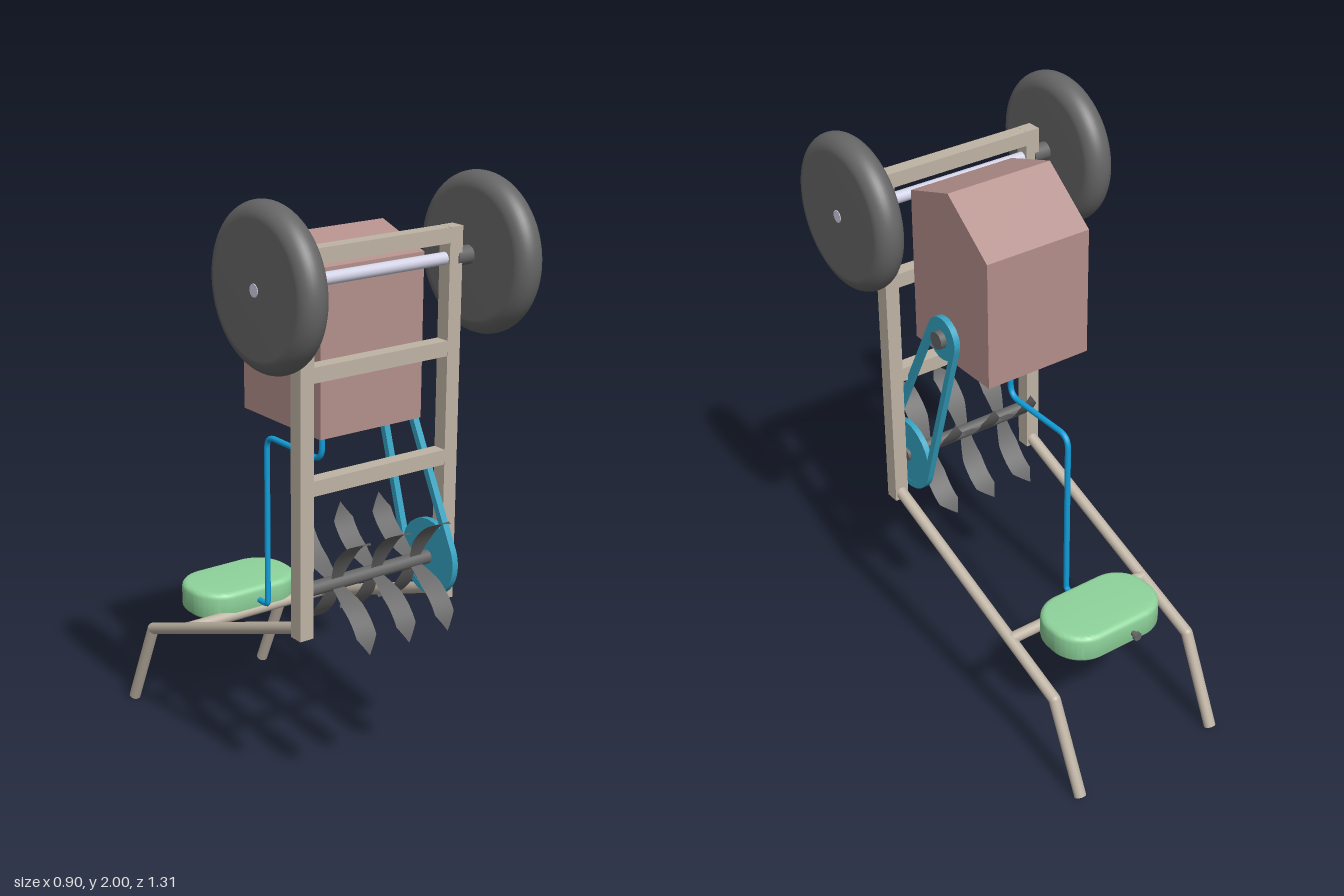
import * as THREE from 'three';
import { mergeVertices, toCreasedNormals } from 'three/addons/utils/BufferGeometryUtils.js';

const mat = (color, side = THREE.FrontSide) => new THREE.MeshStandardMaterial({ color, side });
const V = (x, y, z) => new THREE.Vector3(x, y, z);

export function createModel() {
  const model = new THREE.Group();
  const steel = mat(0xbfb4a5), dark = mat(0x666666), blue = mat(0x35a3c2);
  const pipeBlue = mat(0x109fdc), engineRed = mat(0xb38f8b), green = mat(0x8fd49c);
  const axleGrey = mat(0xd2d2e6), bladeGrey = mat(0x666666, THREE.DoubleSide);

  const add = (name, geometry, material, parent = model) => {
    const mesh = new THREE.Mesh(geometry, material);
    mesh.name = name;
    parent.add(mesh);
    return mesh;
  };
  const box = (name, w, h, d, x, y, z, m) => add(name, new THREE.BoxGeometry(w, h, d), m).position.set(x, y, z);
  // round bar between two points
  const rod = (name, a, b, r, m) => {
    const mesh = add(name, new THREE.CylinderGeometry(r, r, a.distanceTo(b), 24), m);
    mesh.position.copy(a).add(b).multiplyScalar(0.5);
    mesh.quaternion.setFromUnitVectors(V(0, 1, 0), b.clone().sub(a).normalize());
    return mesh;
  };
  // extrude a side profile (drawn in -z, y) along x, centred on x
  const extrudeX = (shape, width, x) => new THREE.ExtrudeGeometry(shape, { depth: width, bevelEnabled: false, curveSegments: 24 })
    .rotateY(Math.PI / 2).translate(x - width / 2, 0, 0);

  // upright ladder frame
  const fz = 0.4;
  for (const s of [-1, 1]) box('framePost', 0.05, 1.225, 0.05, s * 0.28, 1.2325, fz, steel);
  for (const y of [1.82, 1.465, 1.11]) box('frameCrossbar', 0.51, 0.049, 0.049, 0, y, fz, steel);

  // handles: sloping rail with a bent grip
  for (const s of [-1, 1]) {
    const x = s * 0.28, bend = V(x, 0.325, -0.495);
    rod('handleRail', V(x, 0.65, 0.39), bend, 0.02, steel);
    rod('handleGrip', bend, V(x, 0.009, -0.637), 0.02, steel);
    add('handleElbow', new THREE.SphereGeometry(0.02, 24, 12), steel).position.copy(bend);
  }
  rod('handleCrossbar', V(-0.28, 0.415, -0.255), V(0.28, 0.415, -0.255), 0.02, steel);

  // wheels with rounded rims, hubs and axle
  const wheelY = 1.745, rim = [new THREE.Vector2(0, -0.05)];
  for (let i = 0; i <= 16; i++) {
    const a = -Math.PI / 2 + (i / 16) * Math.PI;
    rim.push(new THREE.Vector2(0.205 + 0.05 * Math.cos(a), 0.05 * Math.sin(a)));
  }
  rim.push(new THREE.Vector2(0, 0.05));
  for (const s of [-1, 1]) {
    const wheel = add('wheel', new THREE.LatheGeometry(rim, 64).rotateZ(Math.PI / 2), dark);
    wheel.position.set(s * 0.4, wheelY, fz);
    rod('wheelHub', V(s * 0.29, wheelY, fz), V(s * 0.37, wheelY, fz), 0.03, dark);
  }
  rod('axle', V(-0.452, wheelY, fz), V(0.452, wheelY, fz), 0.02, axleGrey);

  // engine housing with a ridged top
  const housing = new THREE.Shape([[-0.375, 1.24], [0.033, 1.24], [0.033, 1.68], [-0.17, 1.838], [-0.375, 1.77]]
    .map(([x, y]) => new THREE.Vector2(x, y)));
  add('engineHousing', extrudeX(housing, 0.39, 0), engineRed);
  rod('engineShaft', V(0.18, 1.34, 0.17), V(0.255, 1.34, 0.17), 0.03, dark);

  // belt drive: two pulleys inside a belt loop
  const top = { x: -0.17, y: 1.34, r: 0.075 }, low = { x: -fz, y: 0.775, r: 0.128 };
  const loop = (path, inset) => {
    const dx = low.x - top.x, dy = low.y - top.y;
    const phi = Math.atan2(dy, dx), beta = Math.acos((top.r - low.r) / Math.hypot(dx, dy));
    path.absarc(top.x, top.y, top.r - inset, phi + beta, phi + 2 * Math.PI - beta, false);
    path.absarc(low.x, low.y, low.r - inset, phi - beta, phi + beta, false);
    path.closePath();
    return path;
  };
  const belt = loop(new THREE.Shape(), 0);
  belt.holes.push(loop(new THREE.Path(), 0.022));
  add('belt', toCreasedNormals(extrudeX(belt, 0.022, 0.224), 0.5), blue);
  for (const p of [top, low])
    rod('pulley', V(0.214, p.y, -p.x), V(0.234, p.y, -p.x), p.r - 0.001, blue);

  // tiller shaft with three sets of four curved, pointed blades
  rod('tillerShaft', V(-0.27, low.y, fz), V(0.245, low.y, fz), 0.023, dark);
  const curve = new THREE.QuadraticBezierCurve3(V(0, 0, 0.01), V(0, 0.07, 0.16), V(0, 0, 0.255));
  const blade = new THREE.PlaneGeometry(1, 1, 2, 16), bp = blade.attributes.position;
  for (let i = 0; i < bp.count; i++) {
    const t = bp.getY(i) + 0.5, p = curve.getPoint(t);
    const half = t < 0.3 ? 0.02 + 0.06 * t : 0.038 * Math.min(1, (1 - t) / 0.25);
    bp.setXYZ(i, bp.getX(i) * 2 * half, p.y, p.z);
  }
  blade.computeVertexNormals();
  for (const x of [-0.155, 0, 0.155]) {
    const set = new THREE.Group();
    set.name = 'tillerBladeSet';
    set.position.set(x, low.y, fz);
    for (let k = 0; k < 4; k++) add('tillerBlade', blade, bladeGrey, set).rotation.x = -Math.PI / 4 + k * Math.PI / 2;
    model.add(set);
  }

  // fuel tank: soft-edged slab with a filler cap
  const w = 0.185, d = 0.11, r = 0.095, plan = new THREE.Shape();
  plan.absarc(w - r, d - r, r, 0, Math.PI / 2);
  plan.absarc(-w + r, d - r, r, Math.PI / 2, Math.PI);
  plan.absarc(-w + r, -d + r, r, Math.PI, Math.PI * 1.5);
  plan.absarc(w - r, -d + r, r, Math.PI * 1.5, Math.PI * 2);
  const tank = new THREE.ExtrudeGeometry(plan, { depth: 0.06, bevelSize: 0.02, bevelThickness: 0.02, bevelSegments: 5, curveSegments: 12 })
    .rotateX(-Math.PI / 2);
  tank.deleteAttribute('uv');
  tank.deleteAttribute('normal');
  add('fuelTank', toCreasedNormals(mergeVertices(tank), 0.6), green).position.set(0, 0.422, -0.37);
  rod('fillerNeck', V(-0.037, 0.447, -0.49), V(-0.037, 0.447, -0.52), 0.009, dark);
  rod('fillerCap', V(-0.037, 0.447, -0.515), V(-0.037, 0.447, -0.527), 0.015, dark);

  // fuel pipe with rounded bends
  const pts = [V(0, 1.25, 0.12), V(0, 1.065, 0.12), V(0, 1.065, -0.19), V(0, 0.452, -0.19), V(0, 0.452, -0.26)];
  const bends = [0.045, 0.045, 0.015], path = new THREE.CurvePath();
  let from = pts[0];
  bends.forEach((b, i) => {
    const c = pts[i + 1];
    const a = c.clone().add(pts[i].clone().sub(c).setLength(b));
    const e = c.clone().add(pts[i + 2].clone().sub(c).setLength(b));
    path.add(new THREE.LineCurve3(from, a));
    path.add(new THREE.QuadraticBezierCurve3(a, c, e));
    from = e;
  });
  path.add(new THREE.LineCurve3(from, pts[4]));
  add('fuelPipe', new THREE.TubeGeometry(path, 160, 0.01, 12), pipeBlue);

  return model;
}
